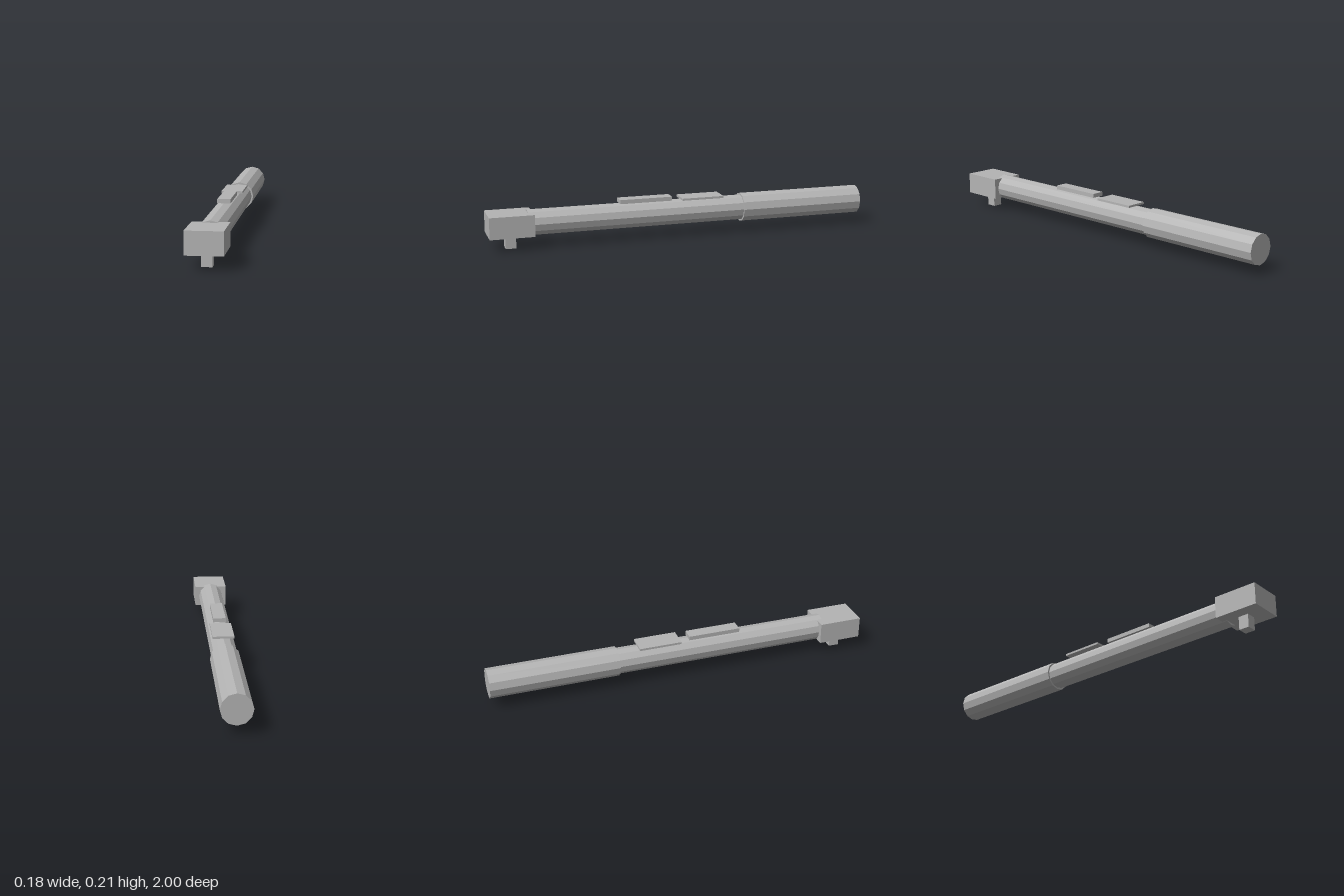
import * as THREE from 'three';

export function createModel() {
  const group = new THREE.Group();
  const steel = new THREE.MeshStandardMaterial({ color: 0xb4b4b4, flatShading: true });
  steel.name = 'greySteel';

  function add(name, geometry, x, y, z) {
    const mesh = new THREE.Mesh(geometry, steel);
    mesh.name = name;
    mesh.position.set(x, y, z);
    group.add(mesh);
  }

  // Boxes given by half-width and their y and z ranges
  function block(name, halfX, y0, y1, z0, z1) {
    add(name, new THREE.BoxGeometry(halfX * 2, y1 - y0, z1 - z0), 0, (y0 + y1) / 2, (z0 + z1) / 2);
  }

  // Twelve-sided rods lying along z, one corner straight up
  const axisY = 0.123;
  function rod(name, radius, z0, z1) {
    const geometry = new THREE.CylinderGeometry(radius, radius, z1 - z0, 12).rotateX(Math.PI / 2);
    add(name, geometry, 0, axisY, (z0 + z1) / 2);
  }

  // Handle and shaft
  rod('grip', 0.076, -1, -0.333);
  rod('shaft', 0.067, -0.333, 0.8);

  // Head with its square drive underneath
  block('head', 0.0885, 0.068, 0.179, 0.774, 1);
  block('squareDrive', 0.026, 0, 0.068, 0.861, 0.914);

  // Plates on top of the shaft
  block('scaleBar', 0.033, 0.19, 0.211, 0.051, 0.326);
  block('displayPlate', 0.055, 0.19, 0.201, -0.223, 0);

  return group;
}
